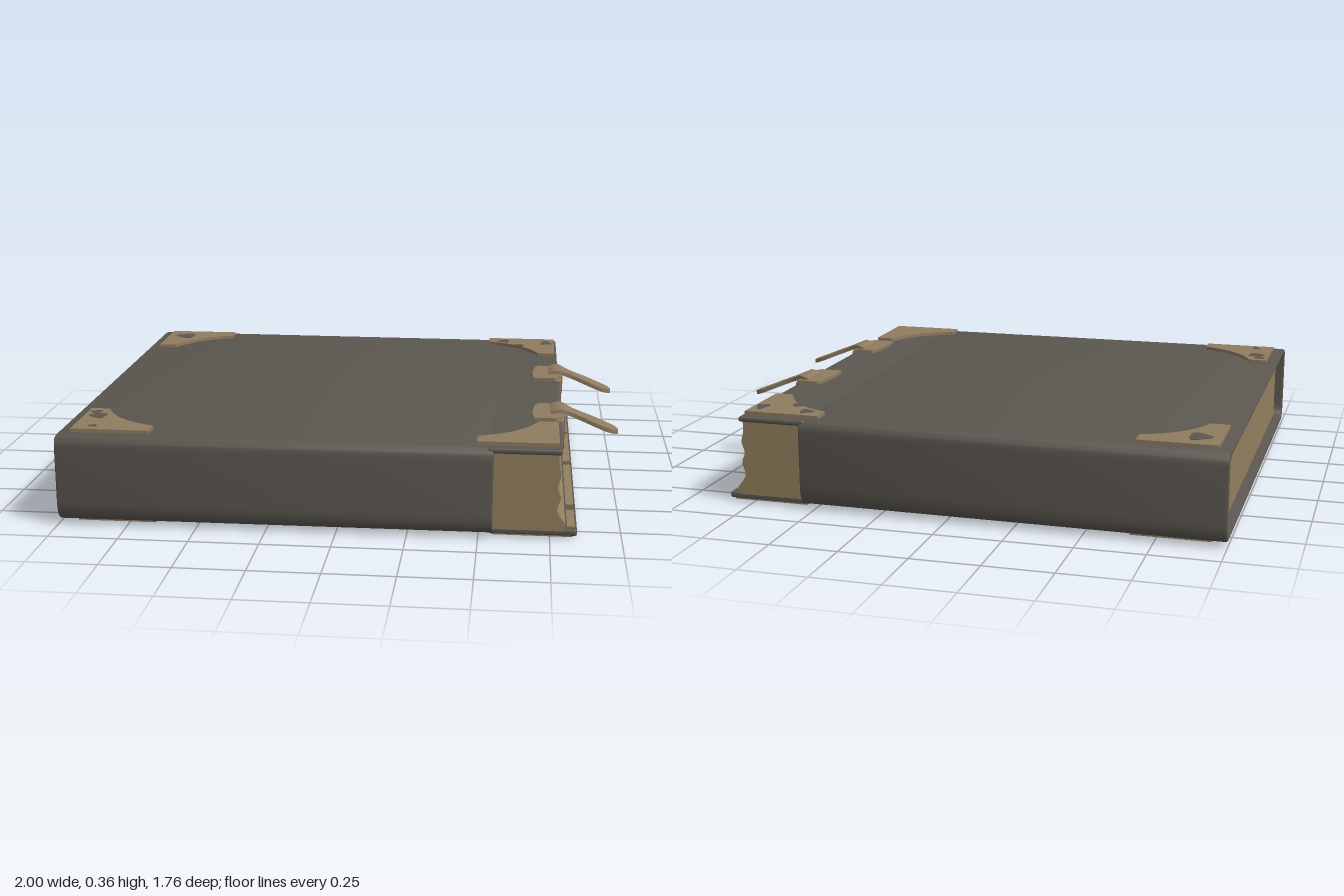
import * as THREE from 'three';
import { toCreasedNormals } from 'three/addons/utils/BufferGeometryUtils.js';
import { RoundedBoxGeometry } from 'three/addons/geometries/RoundedBoxGeometry.js';

export function createModel() {
  const book = new THREE.Group();
  book.name = 'claspedBook';
  const mat = (name, color) => {
    const m = new THREE.MeshStandardMaterial({ color });
    m.name = name;
    return m;
  };
  const leather = mat('dark leather', 0x5b5750);
  const brass = mat('worn brass', 0x8f7b61);
  const paper = mat('old paper', 0x94805f);

  const add = (name, geo, material, parent = book) => {
    const m = new THREE.Mesh(geo, material);
    m.name = name;
    parent.add(m);
    return m;
  };
  // box given by its limits
  const box = (x0, x1, y0, y1, z0, z1, r = 0) => {
    const s = [x1 - x0, y1 - y0, z1 - z0];
    const g = r ? new RoundedBoxGeometry(...s, 2, r) : new THREE.BoxGeometry(...s);
    return g.translate((x0 + x1) / 2, (y0 + y1) / 2, (z0 + z1) / 2);
  };
  // plate drawn in x and z, its top at the given height
  const flatPlate = (shape, top, thick) =>
    new THREE.ExtrudeGeometry(shape, { depth: thick, bevelEnabled: false, curveSegments: 10 })
      .rotateX(Math.PI / 2).translate(0, top, 0);

  // Cover sleeve: rounded section in z and y, running along x
  const section = (Klass, w, y0, y1, rb, rt) => {
    const s = new Klass();
    s.moveTo(-w + 0.05, y0);
    s.lineTo(w - 0.05, y0);
    s.quadraticCurveTo(w, y0, w, y0 + rb);
    s.lineTo(w, y1 - rt);
    s.quadraticCurveTo(w, y1, w - 0.035, y1);
    s.lineTo(-w + 0.035, y1);
    s.quadraticCurveTo(-w, y1, -w, y1 - rt);
    s.lineTo(-w, y0 + rb);
    s.quadraticCurveTo(-w, y0, -w + 0.05, y0);
    return s;
  };
  const sleeve = section(THREE.Shape, 0.882, 0.012, 0.329, 0.075, 0.045);
  sleeve.holes.push(section(THREE.Path, 0.858, 0.03, 0.311, 0.05, 0.035));
  const coverGeo = new THREE.ExtrudeGeometry(sleeve, {
    depth: 1.53, bevelThickness: 0.01, bevelSize: 0.007, bevelOffset: -0.007, bevelSegments: 2, curveSegments: 8,
  }).rotateY(Math.PI / 2).translate(-0.99, 0, 0);
  const cp = coverGeo.attributes.position;
  for (let i = 0; i < cp.count; i++) cp.setZ(i, cp.getZ(i) * (1 - 0.008 * (cp.getX(i) + 1)));
  add('coverSleeve', toCreasedNormals(coverGeo, 0.6), leather);
  add('topBoard', box(0.53, 0.785, 0.309, 0.329, -0.862, 0.862, 0.008), leather);
  add('bottomBoard', box(0.53, 0.845, 0.008, 0.031, -0.83, 0.83, 0.008), leather);

  // Worn light strips along the projecting lower board
  for (const [z0, z1] of [[-0.8, -0.4], [-0.38, 0.02], [0.07, 0.56], [0.62, 0.8]])
    add('wornBoardEdge', box(0.81, 0.838, 0.029, 0.034, z0, z1), paper);

  // Page block with a wavy fore edge
  const pages = new THREE.Shape();
  pages.moveTo(-0.965, 0.035);
  pages.lineTo(0.795, 0.03);
  pages.splineThru([[0.803, 0.055], [0.785, 0.08], [0.772, 0.11], [0.784, 0.15], [0.772, 0.19],
    [0.783, 0.23], [0.775, 0.27], [0.775, 0.312]].map(p => new THREE.Vector2(...p)));
  pages.lineTo(-0.965, 0.312);
  const pageGeo = new THREE.ExtrudeGeometry(pages, { depth: 1.69, bevelEnabled: false, curveSegments: 5 })
    .translate(0, 0, -0.845);
  add('pageBlock', toCreasedNormals(pageGeo, 0.6), paper);

  // Corner mounts with a concave inner edge
  const corner = (name, x, z, sx, sz, top) => {
    const s = new THREE.Shape();
    const p = (u, v) => [x + sx * u, z + sz * v];
    s.moveTo(...p(0, 0));
    s.lineTo(...p(0.285, 0));
    s.lineTo(...p(0.285, 0.07));
    s.quadraticCurveTo(...p(0.13, 0.12), ...p(0.07, 0.28));
    s.lineTo(...p(0, 0.28));
    add(name, flatPlate(s, top, 0.015), brass);
  };
  for (const sz of [-1, 1]) {
    corner('topSpineCorner', -0.955, sz * 0.82, 1, -sz, 0.342);
    corner('topClaspCorner', 0.775, sz * 0.825, -1, -sz, 0.342);
    corner('bottomSpineCorner', -0.94, sz * 0.82, 1, -sz, 0.015);
    corner('bottomClaspCorner', 0.83, sz * 0.815, -1, -sz, 0.015);
  }

  // Dark worn patches on the mounts: x, z, half sizes
  const patch = (x, z, a, b, top) => {
    const pts = [];
    for (let i = 0; i < 12; i++) {
      const t = i / 12 * Math.PI * 2, r = 1 + 0.22 * Math.sin(3 * t + x * 9);
      pts.push(new THREE.Vector2(x + a * r * Math.cos(t), z + b * r * Math.sin(t)));
    }
    add('wornPatch', flatPlate(new THREE.Shape(pts), top, 0.003), leather);
  };
  for (const [x, z, a, b] of [[-0.875, -0.725, 0.04, 0.045], [0.555, -0.77, 0.025, 0.025], [0.62, -0.69, 0.025, 0.02],
    [0.74, -0.745, 0.022, 0.035], [-0.9, 0.64, 0.032, 0.03], [-0.92, 0.59, 0.02, 0.02], [-0.885, 0.775, 0.015, 0.014]])
    patch(x, z, a, b, 0.3435);
  for (const [x, z, a, b] of [[0.74, 0.74, 0.06, 0.05], [0.63, 0.78, 0.04, 0.025], [0.76, -0.6, 0.03, 0.035],
    [-0.87, -0.74, 0.05, 0.04], [-0.76, -0.78, 0.035, 0.02], [-0.87, 0.74, 0.045, 0.05]])
    patch(x, z, a, b, 0.0015);

  // Strap: rectangular sections of x, y, half width
  const strapGeo = () => {
    const rows = [[0.745, 0.336, 0.064], [0.76, 0.343, 0.064], [0.785, 0.348, 0.06], [0.8, 0.342, 0.05],
      [0.83, 0.329, 0.037], [0.87, 0.313, 0.039], [0.9, 0.301, 0.044], [0.95, 0.28, 0.044],
      [0.975, 0.271, 0.037], [0.99, 0.266, 0.026], [1, 0.262, 0.008]];
    const pos = [], idx = [];
    rows.forEach(([x, y, w], i) => {
      const h = 0.008;
      pos.push(x, y + h, w, x, y + h, -w, x, y - h, -w, x, y - h, w);
      if (!i) return;
      for (let k = 0; k < 4; k++) {
        const a = (i - 1) * 4 + k, b = (i - 1) * 4 + (k + 1) % 4;
        idx.push(a, a + 4, b, b, a + 4, b + 4);
      }
    });
    const e = (rows.length - 1) * 4;
    idx.push(0, 1, 2, 0, 2, 3, e, e + 2, e + 1, e, e + 3, e + 2);
    const g = new THREE.BufferGeometry();
    g.setAttribute('position', new THREE.Float32BufferAttribute(pos, 3));
    g.setIndex(idx);
    return toCreasedNormals(g, 0.6);
  };

  // Two clasps: top plate, hanging plate with dark inlay, strap
  for (const z of [0.39, -0.215]) {
    const clasp = new THREE.Group();
    clasp.name = 'clasp';
    clasp.position.z = z;
    book.add(clasp);
    const top = new THREE.Shape([[0.79, -0.105], [0.705, -0.105], [0.69, -0.08], [0.68, 0.03], [0.685, 0.105],
      [0.77, 0.105], [0.79, 0.08]].map(p => new THREE.Vector2(...p)));
    add('claspTopPlate', flatPlate(top, 0.341, 0.014), brass, clasp);
    add('claspHangingPlate', box(0.77, 0.796, 0.203, 0.332, -0.105, 0.105, 0.004), brass, clasp);
    const inlay = new THREE.Shape([[-0.085, 0.24], [-0.06, 0.212], [0.097, 0.212], [0.097, 0.308], [0.055, 0.308],
      [0.045, 0.275], [0.025, 0.262], [-0.025, 0.262], [-0.045, 0.275], [-0.055, 0.308], [-0.085, 0.308]]
      .map(p => new THREE.Vector2(...p)));
    add('claspInlay', new THREE.ExtrudeGeometry(inlay, { depth: 0.004, bevelEnabled: false })
      .rotateY(Math.PI / 2).translate(0.795, 0, 0), leather, clasp);
    add('claspLoop', box(0.79, 0.803, 0.268, 0.335, -0.036, 0.036, 0.004), brass, clasp);
    add('claspStrap', strapGeo(), brass, clasp).position.z = -0.025;
  }
  return book;
}
